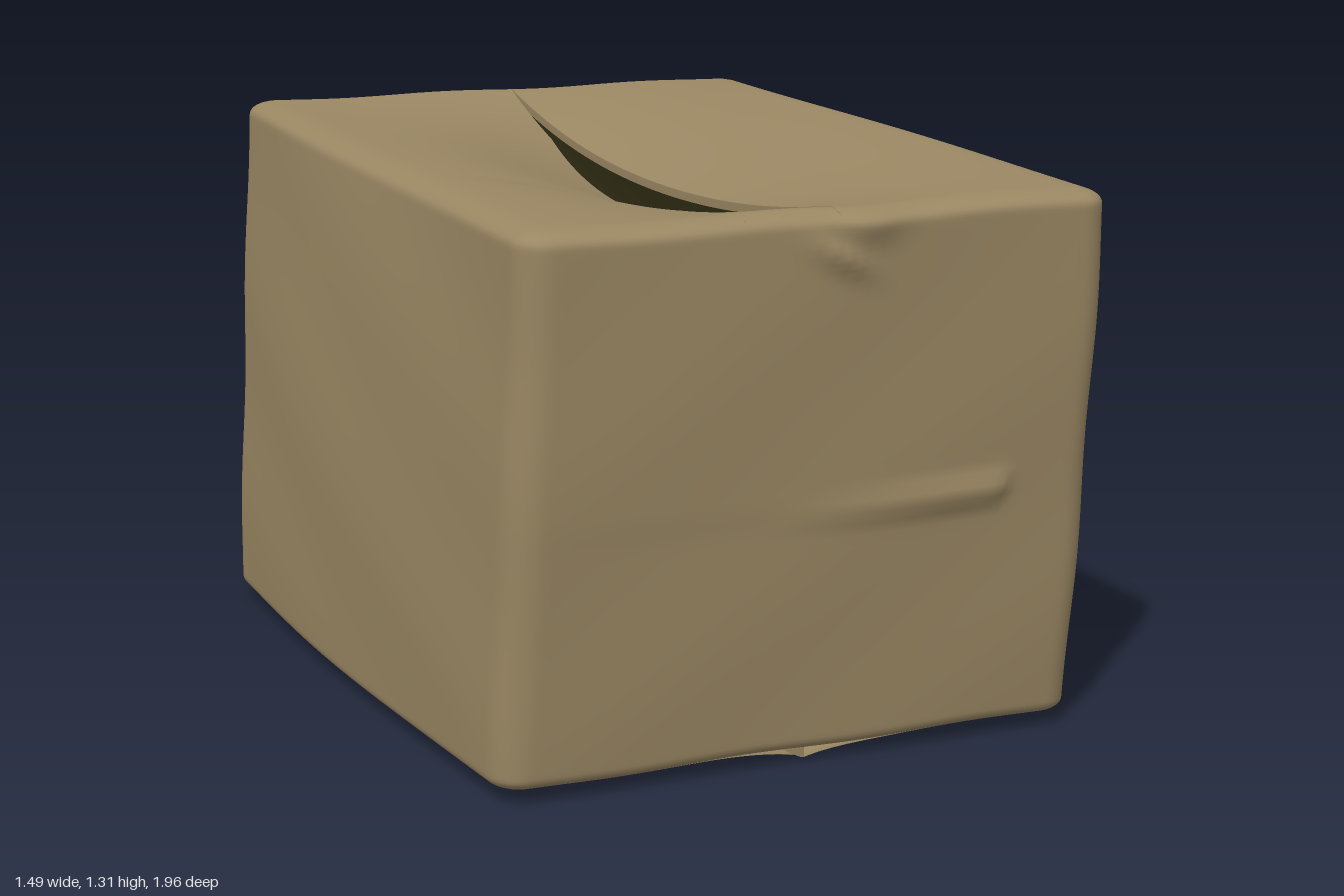
import * as THREE from 'three';
import { mergeVertices } from 'three/addons/utils/BufferGeometryUtils.js';

const HALF = new THREE.Vector3(0.72, 0.63, 0.94);
const ROUND = new THREE.Vector3(0.075, 0.035, 0.075); // upright edges are softer
const N = 72;

// the eight corners of the crooked box, keyed by sign of x, y, z
const CORNERS = {
  '-1,-1,1': [-0.71, 0.03, 0.8], '1,-1,1': [0.71, 0.03, 0.86],
  '-1,-1,-1': [-0.71, 0.025, -0.985], '1,-1,-1': [0.725, 0.025, -0.935],
  '-1,1,1': [-0.685, 1.265, 0.9], '1,1,1': [0.69, 1.28, 0.985],
  '-1,1,-1': [-0.65, 1.32, -0.99], '1,1,-1': [0.75, 1.315, -0.935],
};

const spread = (t) => Math.sin(t * Math.PI / 2); // finer grid near the edges
const clamp = (v, m) => Math.max(-m, Math.min(m, v));
const bell = (v, width) => Math.exp(-((v / width) ** 2));

// height of the wrinkles on the front panel
function frontWrinkles(x, y) {
  const along = THREE.MathUtils.smoothstep(x, -0.15, 0.4)
    * (1 - THREE.MathUtils.smoothstep(x, 0.44, 0.49));
  const crease = 0.024 * along * bell(y - 0.602 - 0.03 * x, 0.024);
  const tape = 0.003 * THREE.MathUtils.smoothstep(y, 0.58, 0.62) * bell(x + 0.2, 0.4);
  // curled scrap of tape slanting down to the right
  const dx = x - 0.03, dy = y - 1.17;
  const curl = 0.024 * bell(0.85 * dx - 0.53 * dy, 0.075) * bell(0.53 * dx + 0.85 * dy, 0.02);
  const fold = 0.02 * bell(x - 0.09, 0.07) * bell(y - 1.25, 0.05);
  return crease + tape + curl + fold;
}

// unit cube point -> rounded, skewed and slightly crumpled box surface
function shape(x, y, z) {
  const p = new THREE.Vector3(x, y, z).multiply(HALF);
  const inner = new THREE.Vector3(
    clamp(p.x, HALF.x - ROUND.x), clamp(p.y, HALF.y - ROUND.y), clamp(p.z, HALF.z - ROUND.z));
  const q = p.sub(inner).divide(ROUND).normalize().multiply(ROUND).add(inner).divide(HALF);
  const out = new THREE.Vector3();
  for (const key in CORNERS) {
    const [sx, sy, sz] = key.split(',').map(Number);
    const w = (1 + sx * q.x) * (1 + sy * q.y) * (1 + sz * q.z) / 8;
    out.addScaledVector(new THREE.Vector3(...CORNERS[key]), w);
  }
  const bx = 1 - q.x * q.x, by = 1 - q.y * q.y, bz = 1 - q.z * q.z;
  // bulging walls, the right one more so towards its foot
  if (q.x < 0) out.x += q.x * bz * (0.028 * by + 0.012 * (1 - q.y));
  else out.x += q.x * 0.008 * by * bz;
  if (q.z > 0) out.z += q.z * 0.01 * by;
  else out.z += q.z * 0.006 * bx * Math.sin(q.y * 5);
  // gentle crumpling
  out.x += 0.0025 * Math.sin(7 * q.y + 4 * q.z);
  out.y += 0.0025 * Math.sin(8 * q.x + 3 * q.z);
  out.z += 0.002 * Math.sin(5 * q.x - 6 * q.y);
  if (q.z > 0.9) out.z += frontWrinkles(out.x, out.y);
  return out;
}

// surface from a grid of points
function grid(nu, nv, pointAt, flip) {
  const pos = [], idx = [];
  for (let i = 0; i <= nu; i++) {
    for (let j = 0; j <= nv; j++) pos.push(...pointAt(i, j).toArray());
  }
  for (let i = 0; i < nu; i++) {
    for (let j = 0; j < nv; j++) {
      const a = i * (nv + 1) + j, b = a + nv + 1;
      if (flip) idx.push(a, b, a + 1, b, b + 1, a + 1);
      else idx.push(a, a + 1, b, b, a + 1, b + 1);
    }
  }
  const g = new THREE.BufferGeometry();
  g.setAttribute('position', new THREE.Float32BufferAttribute(pos, 3));
  g.setIndex(idx);
  g.computeVertexNormals();
  return g;
}

// four walls, without top and bottom
function wallsGeometry() {
  const box = new THREE.BoxGeometry(2, 2, 2, N, N, N);
  const keep = [];
  box.groups.forEach((grp) => {
    if (grp.materialIndex === 2 || grp.materialIndex === 3) return;
    for (let k = 0; k < grp.count; k++) keep.push(box.index.array[grp.start + k]);
  });
  box.setIndex(keep);
  box.clearGroups();
  box.deleteAttribute('uv');
  box.deleteAttribute('normal');
  const p = box.attributes.position;
  for (let i = 0; i < p.count; i++) {
    const v = shape(spread(p.getX(i)), spread(p.getY(i)), spread(p.getZ(i)));
    p.setXYZ(i, v.x, v.y, v.z);
  }
  const g = mergeVertices(box);
  g.computeVertexNormals();
  return g;
}

const sag = (z) => Math.max(0, 1 - (z / 0.93) ** 2);
const seamAt = (z) => 0.03 + 0.008 * z;
// edge of the sunken flap, with one torn notch
const tornEdge = (z) => seamAt(z) - 0.055 * Math.max(0, 1 - (z / 0.64) ** 2)
  - 0.13 * bell(z - 0.27, 0.06);

// one closing flap, from its wall to the seam, ending in a short turned-in lip
function flapGeometry(sideX, sideY, seam, drop, lip) {
  const n = 36;
  return grid(n + 1, N, (i, j) => {
    const z = spread(j / N * 2 - 1);
    const s = Math.sin(Math.min(i, n) / n * Math.PI / 2);
    const x = sideX + (seam(z) - sideX) * s;
    const v = shape(x, sideY, z);
    v.y -= drop(z, s);
    if (i > n) v.y -= sideY * lip;
    return v;
  }, sideX * sideY > 0);
}

export function createModel() {
  const root = new THREE.Group();
  const makeMaterial = (name, color) => {
    const m = new THREE.MeshStandardMaterial({ color, side: THREE.DoubleSide });
    m.name = name;
    return m;
  };
  const cardboard = makeMaterial('cardboard', 0x9a8763);
  const darkInterior = makeMaterial('darkInterior', 0x24220e);
  const add = (name, geometry, material) => {
    const m = new THREE.Mesh(geometry, material);
    m.name = name;
    root.add(m);
  };

  add('walls', wallsGeometry(), cardboard);

  // sagging top flaps
  add('topFlapRight', flapGeometry(-1, 1, tornEdge,
    (z, s) => 0.17 * sag(z) * s ** 2, 0.015), cardboard);
  add('topFlapLeft', flapGeometry(1, 1, seamAt,
    (z, s) => 0.1 * sag(z) * s ** 2, 0.02), cardboard);

  // bottom flaps meeting in a shallow uneven joint
  const baseSeam = (z) => 0.015 + 0.01 * z;
  add('bottomFlapRight', flapGeometry(-1, -1, (z) => baseSeam(z) - 0.01,
    (z, s) => 0.018 * s ** 8, 0.03), cardboard);
  add('bottomFlapLeft', flapGeometry(1, -1, (z) => baseSeam(z) + 0.01,
    (z, s) => (0.018 + 0.006 * z) * s ** 8, 0.03), cardboard);
  // closes the bottom joint from inside
  add('bottomJoint', grid(1, N, (i, j) => {
    const z = spread(j / N * 2 - 1);
    const v = shape(baseSeam(z) + (i ? 0.02 : -0.02), -1, z);
    v.y += 0.008;
    return v;
  }, true), cardboard);

  // dark hollow under the opening
  add('interior', grid(2, N, (i, j) => {
    const z = (j / N * 2 - 1) * 0.85;
    const v = shape(seamAt(z) + [-0.26, 0.03, 0.08][i], 1, z);
    v.y -= i < 2 ? 0.17 * sag(z) + 0.03 : 0.1 * sag(z) + 0.01;
    return v;
  }, false), darkInterior);

  return root;
}
